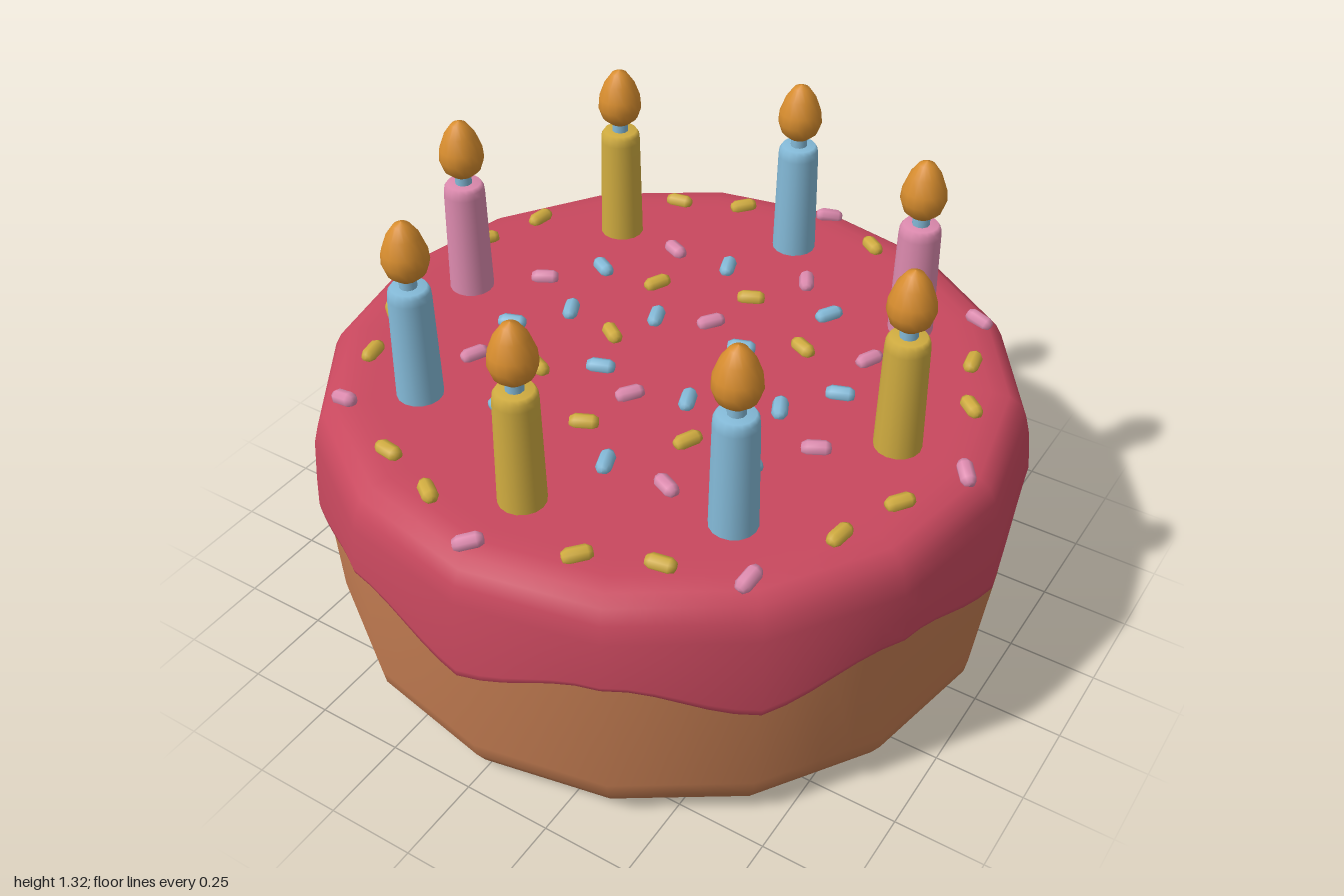
import * as THREE from 'three';

const mat = (name, color, side = THREE.FrontSide) => {
  const m = new THREE.MeshStandardMaterial({ color, side });
  m.name = name;
  return m;
};

const lathe = (pts, segments) =>
  new THREE.LatheGeometry(pts.map(([r, y]) => new THREE.Vector2(r, y)), segments);

// Pull a round lathe in to a 16-sided outline while keeping its smooth normals
const STEP = Math.PI / 8;
function toPolygon(geometry, wave) {
  const p = geometry.attributes.position;
  for (let i = 0; i < p.count; i++) {
    const x = p.getX(i), z = p.getZ(i), y = p.getY(i);
    const a = Math.atan2(x, z) + Math.PI * 2;
    const k = Math.cos(STEP / 2) / Math.cos((a % STEP) - STEP / 2);
    p.setXYZ(i, x * k, wave ? wave(y, a) : y, z * k);
  }
  return geometry;
}

export function createModel() {
  const group = new THREE.Group();
  group.name = 'birthdayCake';
  const sponge = mat('sponge', 0xc07a50);
  const icing = mat('icing', 0xc8485e, THREE.DoubleSide);
  const yellow = mat('yellow', 0xd0ac40);
  const blue = mat('blue', 0x84bad8);
  const pink = mat('pink', 0xdc8aae);
  const flame = mat('flame', 0xd68c2e);

  const add = (parent, name, geometry, material, x = 0, y = 0, z = 0) => {
    const m = new THREE.Mesh(geometry, material);
    m.name = name;
    m.position.set(x, y, z);
    parent.add(m);
    return m;
  };

  // Sponge with a rounded bottom edge
  add(group, 'sponge', toPolygon(lathe([
    [0, 0], [0.82, 0], [0.87, 0.005], [0.925, 0.035], [0.955, 0.085],
    [0.963, 0.13], [0.982, 0.5], [0.96, 0.6],
  ], 64)), sponge);

  // Icing: everything below the shoulder stretches to a lower edge of eight drips
  const shoulder = 0.66, edge = 0.415;
  const drip = (y, a) => {
    if (y >= shoulder) return y;
    const lower = 0.465 - 0.05 * Math.cos(8 * a);
    return shoulder - (shoulder - y) * (shoulder - lower) / (shoulder - edge);
  };
  add(group, 'icing', toPolygon(lathe([
    [0.965, edge + 0.02], [0.985, edge], [0.998, edge + 0.01], [1, edge + 0.03],
    [0.995, 0.54], [0.985, shoulder], [0.972, 0.71], [0.952, 0.748],
    [0.92, 0.77], [0.87, 0.779], [0.82, 0.78], [0, 0.78],
  ], 96), drip), icing);

  // Eight candles in a ring, starting at the front and turning to the left
  const candleGeo = lathe([
    [0.064, 0.76], [0.063, 0.82], [0.058, 1.09], [0.056, 1.11], [0.048, 1.122], [0, 1.122],
  ], 16);
  const wickGeo = new THREE.CylinderGeometry(0.024, 0.024, 0.06, 10);
  const flameGeo = lathe([
    [0, 1.146], [0.03, 1.149], [0.052, 1.168], [0.063, 1.2], [0.06, 1.232],
    [0.044, 1.275], [0.022, 1.306], [0, 1.316],
  ], 16);
  [yellow, blue, yellow, pink, blue, yellow, pink, blue].forEach((colour, i) => {
    const a = i * Math.PI / 4;
    const candle = new THREE.Group();
    candle.name = 'candle';
    candle.position.set(0.69 * Math.sin(a), 0, 0.69 * Math.cos(a));
    add(candle, 'wax', candleGeo, colour);
    add(candle, 'wick', wickGeo, blue, 0, 1.14, 0);
    add(candle, 'flame', flameGeo, flame);
    group.add(candle);
  });

  // Sprinkles: one quarter of the pattern, repeated by quarter turns
  // [x, z, angle in degrees, colour, colour on odd turns]
  const quarter = [
    [0.015, -0.89, 40, pink], [0.21, -0.8, -35, yellow], [0.395, -0.73, -8, yellow],
    [0.64, -0.62, -5, pink], [0.71, -0.42, -80, yellow], [0.79, -0.235, -40, yellow],
    [0.135, -0.525, -62, pink], [0.27, -0.41, 60, blue], [0.285, -0.23, -25, yellow],
    [0.465, -0.28, 65, pink], [0.47, -0.1, 20, blue], [0.14, -0.14, 20, blue],
    [0.04, -0.365, 25, yellow, blue], [0.005, -0.2, 55, pink, yellow],
  ];
  const sprinkleGeo = lathe([
    [0, -0.04], [0.014, -0.038], [0.022, -0.024], [0.022, 0.024], [0.014, 0.038], [0, 0.04],
  ], 8).rotateZ(Math.PI / 2);
  for (let k = 0; k < 4; k++) {
    const turn = new THREE.Group();
    turn.name = 'sprinkles';
    turn.rotation.y = -k * Math.PI / 2;
    for (const [x, z, deg, colour, odd] of quarter) {
      const r = Math.hypot(x, z);
      const m = add(turn, 'sprinkle', sprinkleGeo, k % 2 && odd ? odd : colour, x, 0.787, z);
      m.rotation.y = THREE.MathUtils.degToRad(deg);
      // Those near the rim lean outwards
      if (r > 0.85) {
        m.position.y = 0.783;
        m.rotateOnWorldAxis(new THREE.Vector3(z / r, 0, -x / r), 0.35);
      }
    }
    group.add(turn);
  }
  return group;
}
